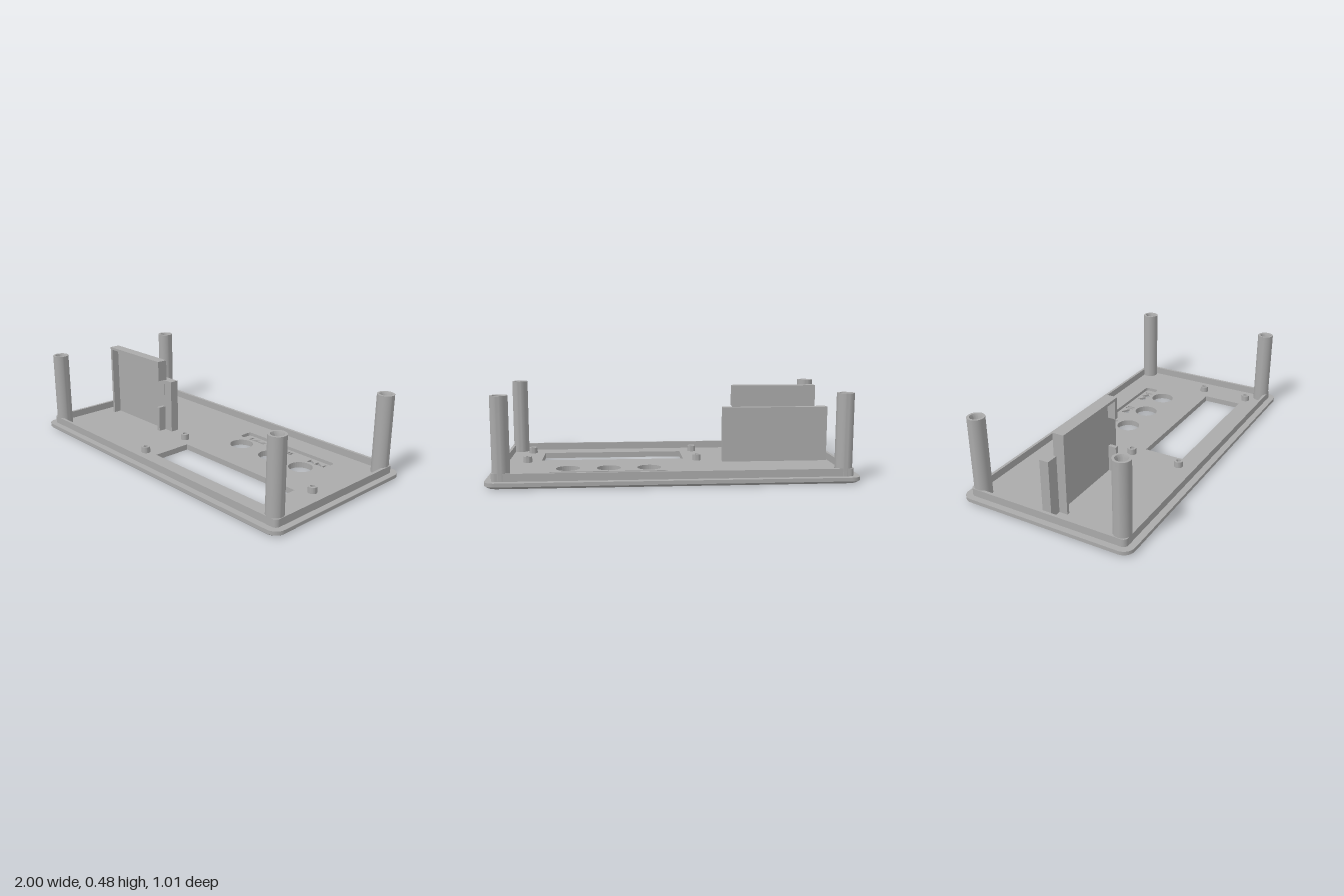
import * as THREE from 'three';
import { toCreasedNormals } from 'three/addons/utils/BufferGeometryUtils.js';

const grey = new THREE.MeshStandardMaterial({ color: 0xaaaaaa });
grey.name = 'grey plastic';

// Outlines are drawn in plan as (x, z)
const poly = (pts, Type = THREE.Path) =>
  new Type(pts.map(([x, z]) => new THREE.Vector2(x, -z)));
const rect = (x0, x1, z0, z1, Type) => poly([[x0, z0], [x1, z0], [x1, z1], [x0, z1]], Type);

function roundRect(x0, x1, z0, z1, r, Type = THREE.Path) {
  const p = new Type();
  const [b, t] = [-z1, -z0];
  p.moveTo(x0 + r, b);
  p.lineTo(x1 - r, b).absarc(x1 - r, b + r, r, -Math.PI / 2, 0);
  p.lineTo(x1, t - r).absarc(x1 - r, t - r, r, 0, Math.PI / 2);
  p.lineTo(x0 + r, t).absarc(x0 + r, t - r, r, Math.PI / 2, Math.PI);
  p.lineTo(x0, b + r).absarc(x0 + r, b + r, r, Math.PI, Math.PI * 1.5);
  return p;
}

function circle(x, z, r) {
  const p = new THREE.Path();
  p.absarc(x, -z, r, 0, Math.PI * 2);
  return p;
}

// Vertical extrusion of a plan shape between two heights
function slab(shape, holes, y0, y1) {
  shape.holes = holes;
  const geo = new THREE.ExtrudeGeometry(shape, { depth: y1 - y0, bevelEnabled: false, curveSegments: 16 });
  return geo.rotateX(-Math.PI / 2).translate(0, y0, 0);
}

// Hollow round column standing on its lowest point
const column = (profile) => toCreasedNormals(
  new THREE.LatheGeometry(profile.map(([r, y]) => new THREE.Vector2(r, y)), 40), 0.6);

export function createModel() {
  const model = new THREE.Group();
  const add = (name, geo, x = 0, y = 0, z = 0) => {
    const mesh = new THREE.Mesh(geo, grey);
    mesh.name = name;
    mesh.position.set(x, y, z);
    model.add(mesh);
  };
  const box = (name, x0, x1, y0, y1, z0, z1) =>
    add(name, new THREE.BoxGeometry(x1 - x0, y1 - y0, z1 - z0), (x0 + x1) / 2, (y0 + y1) / 2, (z0 + z1) / 2);

  const floor = 0.033, step = 0.013;

  // Openings shared by both layers of the panel
  const openings = () => [
    rect(-0.09, 0.755, 0.095, 0.33),
    rect(-0.925, -0.33, -0.018, 0.02),
    ...[0.125, 0.355, 0.585].map((x) => circle(x, -0.15, 0.068)),
  ];

  // Pictogram cut-outs: skip forward, its mirror, and play / pause
  const [za, zb, zm] = [-0.31, -0.25, -0.28];
  const skip = [
    [[0.53, za], [0.58, zm], [0.53, zb]],
    [[0.583, za], [0.633, zm], [0.583, zb]],
    [[0.636, za], [0.648, za], [0.648, zb], [0.636, zb]],
  ];
  const icons = [
    ...skip.map((pts) => poly(pts)),
    ...skip.map((pts) => poly(pts.map(([x, z]) => [0.717 - x, z]))),
    poly([[0.305, za], [0.363, zm], [0.305, zb]]),
    rect(0.37, 0.383, za, zb),
    rect(0.39, 0.403, za, zb),
  ];

  // Lower panel layer, its outer edge drawn in at the bottom as a chamfer
  const outline = () => roundRect(-1, 1, -0.505, 0.505, 0.06, THREE.Shape);
  const lower = slab(outline(), [...openings(), ...icons], 0, step);
  const p = lower.attributes.position;
  for (let i = 0; i < p.count; i++) {
    const [x, y, z] = [p.getX(i), p.getY(i), p.getZ(i)];
    if (y < 0.001 && (Math.abs(x) > 0.935 || Math.abs(z) > 0.44)) p.setXYZ(i, x * 0.985, y, z * 0.97);
  }
  lower.computeVertexNormals();
  add('panelFace', lower);

  // Upper panel layer with the pocket around the pictograms
  add('panelBack', slab(outline(),
    [...openings(), roundRect(0.025, 0.685, -0.325, -0.238, 0.02)], step, floor));

  // Locating lip
  add('lip', slab(roundRect(-0.965, 0.965, -0.468, 0.468, 0.025, THREE.Shape),
    [roundRect(-0.948, 0.948, -0.452, 0.452, 0.01)], floor, 0.075));

  // Corner posts with screw holes
  const post = column([[0.047, floor], [0.047, 0.48], [0.034, 0.48], [0.028, 0.465], [0.028, 0.12], [0, 0.12]]);
  for (const x of [-0.915, 0.915])
    for (const z of [-0.423, 0.423]) add('cornerPost', post, x, 0, z);

  // Small standoffs around the window
  const standoff = column([[0.025, floor], [0.025, 0.068], [0.013, 0.068], [0.013, 0.04], [0, 0.04]]);
  for (const x of [-0.168, 0.832])
    for (const z of [0.045, 0.345]) add('standoff', standoff, x, 0, z);

  // Upright board holder: wide backing, tall tray and its rims
  box('holderBacking', -0.938, -0.315, floor - 0.005, 0.355, -0.025, 0.027);
  box('holderTray', -0.87, -0.375, floor, 0.48, 0.012, 0.029);
  box('holderSideRim', -0.87, -0.853, floor, 0.48, 0.029, 0.075);
  box('holderTopRim', -0.853, -0.375, 0.465, 0.48, 0.029, 0.075);
  box('holderUpperTab', -0.397, -0.375, 0.358, 0.465, 0.029, 0.075);
  box('holderLowerTab', -0.397, -0.375, floor, 0.186, 0.029, 0.075);

  return model;
}
